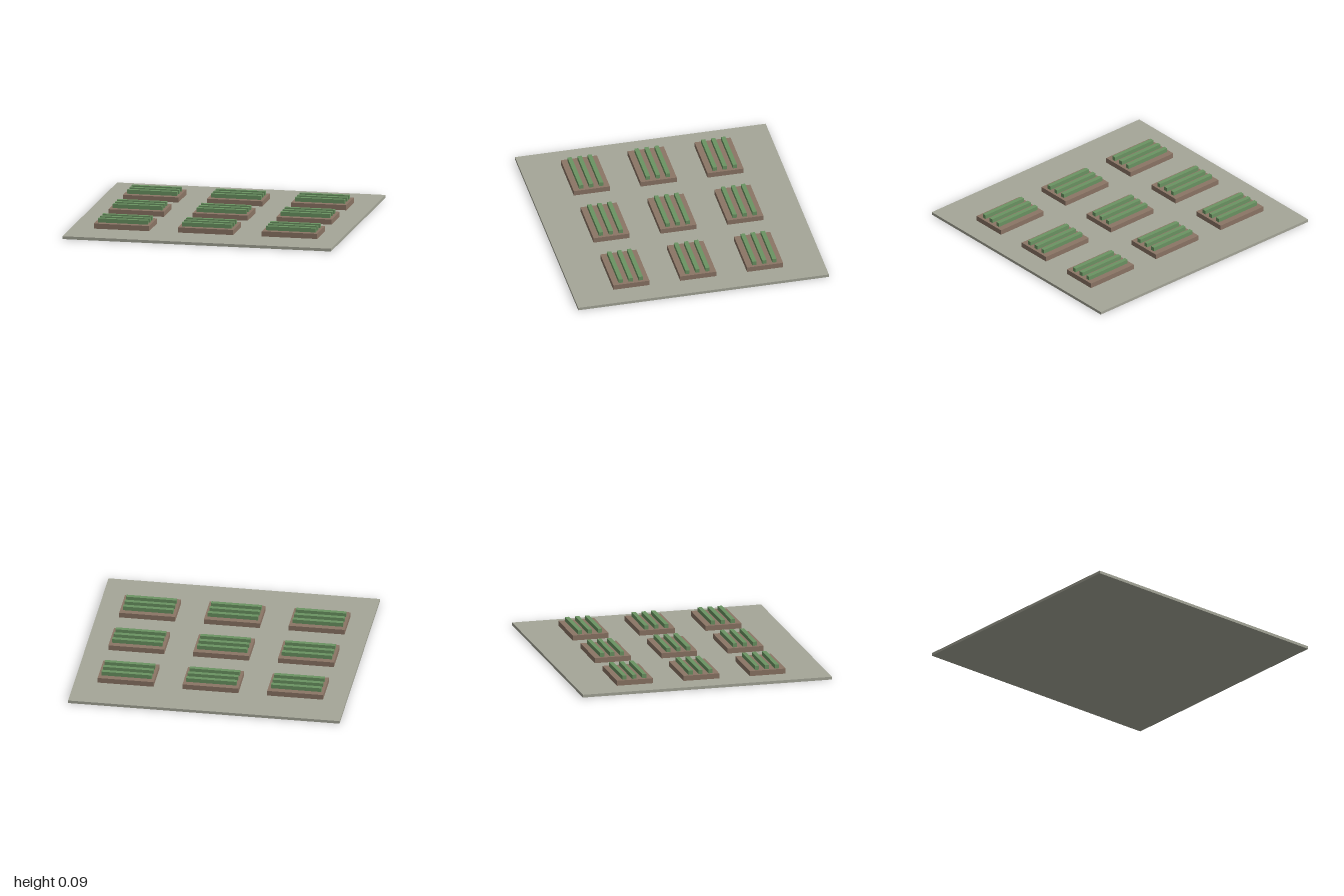
import * as THREE from 'three';

const soil = new THREE.MeshStandardMaterial({ color: 0x8b7565 });
const leaf = new THREE.MeshStandardMaterial({ color: 0x6b9362 });
const paving = new THREE.MeshStandardMaterial({ color: 0xa5a698 });

// Box whose underside rests at height y
function box(name, material, w, h, d, y, z = 0) {
  const mesh = new THREE.Mesh(new THREE.BoxGeometry(w, h, d), material);
  mesh.name = name;
  mesh.position.set(0, y + h / 2, z);
  return mesh;
}

// Raised bed with three rows of planting
function plantingBed() {
  const bed = new THREE.Group();
  bed.name = 'plantingBed';
  bed.add(box('soilBed', soil, 0.412, 0.038, 0.27, 0.021));
  for (const z of [-0.075, 0, 0.075]) {
    bed.add(box('cropRow', leaf, 0.371, 0.03, 0.031, 0.059, z));
  }
  return bed;
}

export function createModel() {
  const model = new THREE.Group();
  model.name = 'gardenPlot';
  model.add(box('ground', paving, 2, 0.021, 1.875, 0));

  // Three by three grid of beds
  for (const i of [-1, 0, 1]) {
    for (const j of [-1, 0, 1]) {
      const bed = plantingBed();
      bed.position.set(i * 0.625, 0, j * 0.5);
      model.add(bed);
    }
  }
  return model;
}
